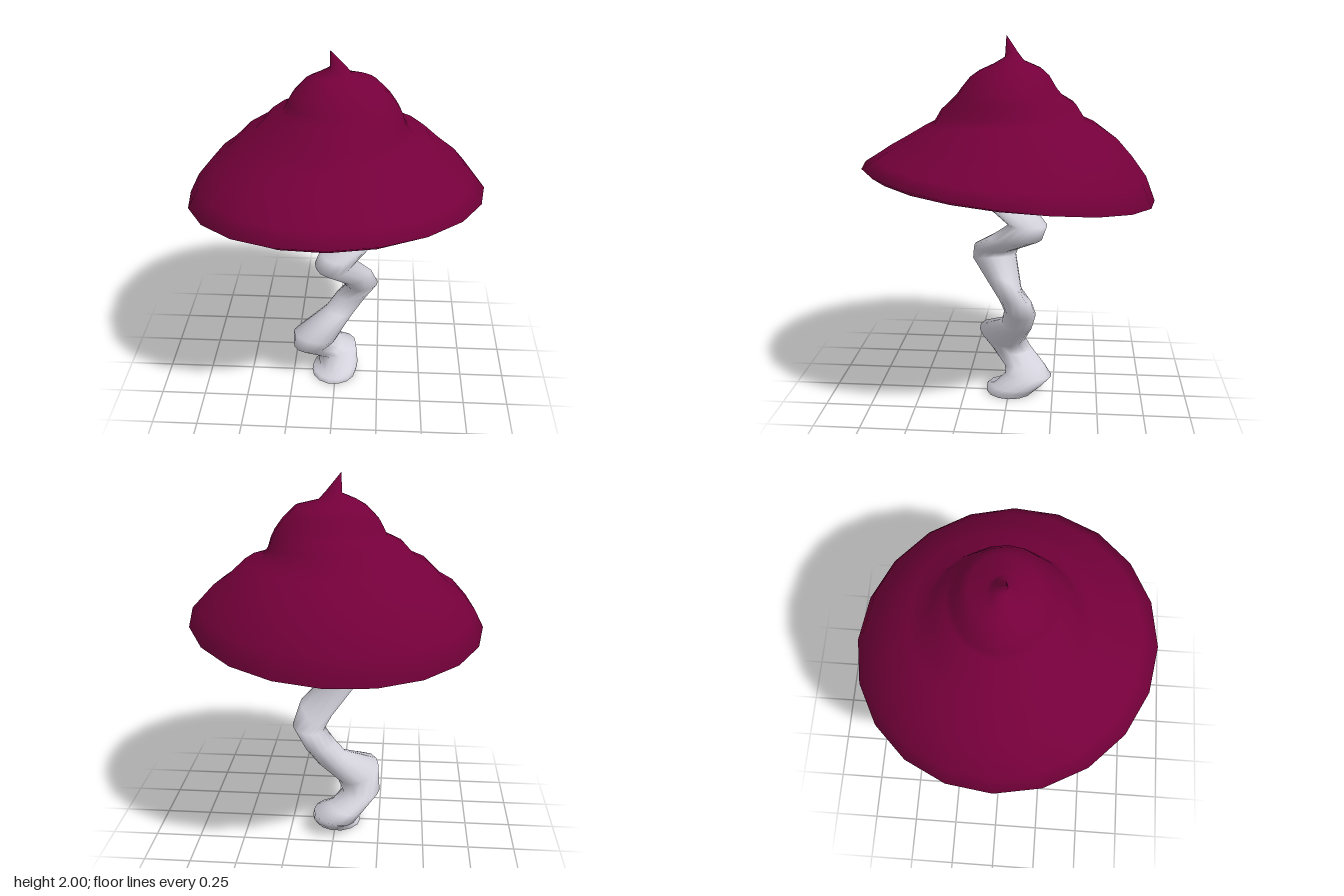
import * as THREE from 'three';

// Skin a stack of tilted rings. Each ring is given by its four extremes:
// [xMin, y, xMax, y, zMax, y, zMin, y]
function loft(name, rings, sides, material) {
  const pos = [], index = [];
  for (const [xl, yl, xr, yr, zf, yf, zb, yb] of rings) {
    for (let j = 0; j < sides; j++) {
      const a = (j / sides) * Math.PI * 2, c = Math.cos(a), s = Math.sin(a);
      pos.push(
        (xl + xr) / 2 + c * (xr - xl) / 2,
        c * c * (yl + yr) / 2 + s * s * (yf + yb) / 2 + c * (yr - yl) / 2 + s * (yf - yb) / 2,
        (zf + zb) / 2 + s * (zf - zb) / 2
      );
    }
  }
  for (let i = 0; i < rings.length - 1; i++) {
    for (let j = 0; j < sides; j++) {
      const k = (j + 1) % sides;
      const a = i * sides + j, b = i * sides + k, c = a + sides, d = b + sides;
      index.push(a, c, b, b, c, d);
    }
  }
  const geo = new THREE.BufferGeometry();
  geo.setAttribute('position', new THREE.Float32BufferAttribute(pos, 3));
  geo.setIndex(index);
  geo.computeVertexNormals();
  const mesh = new THREE.Mesh(geo, material);
  mesh.name = name;
  return mesh;
}

// A ring collapsed to one point
const point = (x, y, z) => [x, y, x, y, z, y, z, y];

export function createModel() {
  const group = new THREE.Group();
  group.name = 'mushroom';
  const red = new THREE.MeshStandardMaterial({ color: 0x74003a });
  const grey = new THREE.MeshStandardMaterial({ color: 0xcccccc });
  const pale = new THREE.MeshStandardMaterial({ color: 0xd4d2dc });

  // Cap: curled lip, drooping brim, lumpy dome, crooked tip
  const lip = [-0.73, 1.185, 0.73, 1.25, 0.72, 1.285, -0.74, 1.145];
  const capRings = [
    lip,
    [-0.78, 1.20, 0.78, 1.27, 0.78, 1.33, -0.78, 1.14],
    [-0.73, 1.30, 0.72, 1.335, 0.70, 1.38, -0.73, 1.27],
    [-0.65, 1.40, 0.66, 1.40, 0.64, 1.42, -0.65, 1.38],
    [-0.57, 1.455, 0.57, 1.465, 0.55, 1.47, -0.57, 1.47],
    [-0.48, 1.55, 0.48, 1.55, 0.44, 1.535, -0.47, 1.54],
    [-0.41, 1.58, 0.39, 1.57, 0.40, 1.55, -0.40, 1.57],
    [-0.35, 1.645, 0.36, 1.61, 0.36, 1.615, -0.35, 1.65],
    [-0.265, 1.68, 0.34, 1.67, 0.27, 1.70, -0.28, 1.70],
    [-0.245, 1.725, 0.32, 1.71, 0.245, 1.735, -0.25, 1.735],
    [-0.22, 1.77, 0.28, 1.765, 0.20, 1.79, -0.21, 1.80],
    [-0.16, 1.835, 0.21, 1.835, 0.15, 1.825, -0.17, 1.835],
    [-0.10, 1.87, 0.09, 1.865, 0.08, 1.855, -0.08, 1.87],
    [-0.03, 1.90, 0.05, 1.91, 0.02, 1.89, -0.05, 1.91],
    point(-0.025, 2.0, 0.015),
  ];
  group.add(loft('cap', capRings, 20, red));

  // Shallow underside with a raised middle, from its crown out to the lip
  const underRings = [
    point(0, 1.57, 0),
    [-0.20, 1.52, 0.20, 1.52, 0.20, 1.53, -0.20, 1.51],
    [-0.43, 1.37, 0.43, 1.38, 0.43, 1.40, -0.43, 1.35],
    lip,
  ];
  group.add(loft('capUnderside', underRings, 20, grey));

  // Crooked stem rising from the foot, flaring where it meets the cap
  const foot = [-0.14, 0, 0.12, 0, 0.13, 0, -0.14, 0];
  const stemRings = [
    foot,
    [-0.135, 0.03, 0.13, 0.03, 0.13, 0.03, -0.165, 0.025],
    [-0.10, 0.035, 0.13, 0.05, 0.09, 0.04, -0.19, 0.05],
    [-0.12, 0.07, 0.118, 0.12, 0.02, 0.11, -0.245, 0.10],
    [-0.16, 0.11, 0.03, 0.15, 0.03, 0.13, -0.20, 0.14],
    [-0.25, 0.20, -0.04, 0.20, 0.11, 0.21, -0.12, 0.20],
    [-0.24, 0.33, 0.00, 0.27, 0.18, 0.34, -0.08, 0.27],
    [-0.06, 0.44, 0.10, 0.40, 0.04, 0.43, -0.13, 0.40],
    [0.00, 0.52, 0.17, 0.50, 0.02, 0.53, -0.155, 0.50],
    [0.06, 0.60, 0.24, 0.62, 0.04, 0.61, -0.135, 0.595],
    [0.00, 0.72, 0.20, 0.74, 0.11, 0.70, -0.08, 0.63],
    [-0.11, 0.82, 0.10, 0.83, 0.20, 0.80, -0.04, 0.82],
    [-0.08, 0.89, 0.14, 0.87, 0.19, 0.88, -0.06, 0.88],
    [0.05, 0.98, 0.255, 0.95, 0.09, 0.96, -0.19, 0.96],
    [0.04, 1.03, 0.26, 1.04, -0.01, 1.03, -0.215, 1.03],
    [-0.04, 1.10, 0.18, 1.11, 0.12, 1.12, -0.13, 1.12],
    [-0.25, 1.22, 0.05, 1.25, 0.30, 1.25, -0.04, 1.22],
    [-0.16, 1.40, 0.09, 1.40, 0.17, 1.40, -0.08, 1.40],
    [-0.17, 1.55, 0.17, 1.55, 0.17, 1.55, -0.17, 1.55],
  ];
  group.add(loft('stem', stemRings, 14, pale));

  // Flat sole under the foot
  group.add(loft('sole', [point(-0.01, 0, -0.005), foot], 14, pale));

  return group;
}
